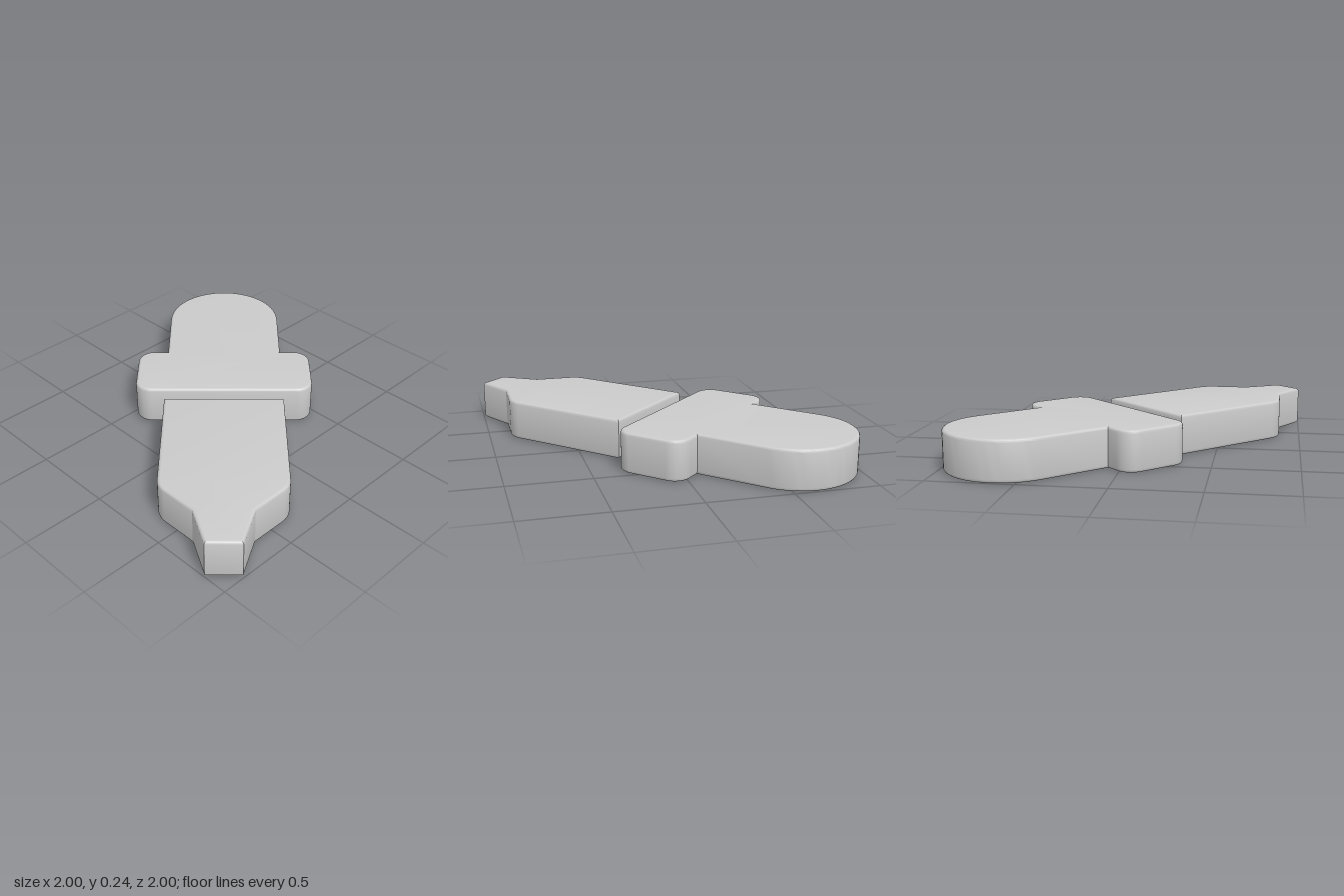
import * as THREE from 'three';
import { toCreasedNormals } from 'three/addons/utils/BufferGeometryUtils.js';

const HEIGHT = 0.24, BEVEL = 0.018;
const HALF = 0.363; // half width of barrel and bulb

// Extrude an outline drawn along its long axis, then lay it flat on the diagonal
function slab(name, shape, material) {
  let geometry = new THREE.ExtrudeGeometry(shape, {
    depth: HEIGHT - 2 * BEVEL, curveSegments: 16,
    bevelEnabled: true, bevelThickness: BEVEL, bevelSize: BEVEL, bevelOffset: -BEVEL, bevelSegments: 4,
  });
  geometry.translate(0, 0.004, BEVEL);
  geometry.rotateZ(Math.PI / 4);
  geometry.rotateX(-Math.PI / 2);
  geometry = toCreasedNormals(geometry, 0.45);
  const mesh = new THREE.Mesh(geometry, material);
  mesh.name = name;
  return mesh;
}

// Barrel with softened shoulders and a tapering tip
function barrelShape() {
  const end = -0.058, shoulder = -0.866, neck = -1.063, tip = -1.308, r = 0.06, d = r * Math.SQRT1_2;
  const s = new THREE.Shape();
  s.moveTo(end, -HALF);
  s.lineTo(end, HALF);
  s.lineTo(shoulder + r, HALF);
  s.quadraticCurveTo(shoulder, HALF, shoulder - d, HALF - d);
  s.lineTo(neck, 0.166);
  s.lineTo(tip, 0.1);
  s.lineTo(tip, -0.1);
  s.lineTo(neck, -0.166);
  s.lineTo(shoulder - d, d - HALF);
  s.quadraticCurveTo(shoulder, -HALF, shoulder + r, -HALF);
  s.closePath();
  return s;
}

// Rounded collar joined to a round-ended bulb
function bulbShape() {
  const a = 0.028, b = 0.468, w = 0.546, r = 0.1, centre = 0.9, q = Math.PI / 2;
  const s = new THREE.Shape();
  s.moveTo(a, w - r);
  s.lineTo(a, r - w);
  s.absarc(a + r, r - w, r, 2 * q, 3 * q, false);
  s.absarc(b - r, r - w, r, -q, 0, false);
  s.lineTo(b, -HALF);
  s.absarc(centre, 0, HALF, -q, q, false);
  s.lineTo(b, HALF);
  s.absarc(b - r, w - r, r, 0, q, false);
  s.absarc(a + r, w - r, r, q, 2 * q, false);
  return s;
}

export function createModel() {
  const group = new THREE.Group();
  group.name = 'dropper';
  const material = new THREE.MeshStandardMaterial({ color: 0xcccccc });
  group.add(slab('barrel', barrelShape(), material));
  group.add(slab('bulbAndCollar', bulbShape(), material));
  return group;
}
